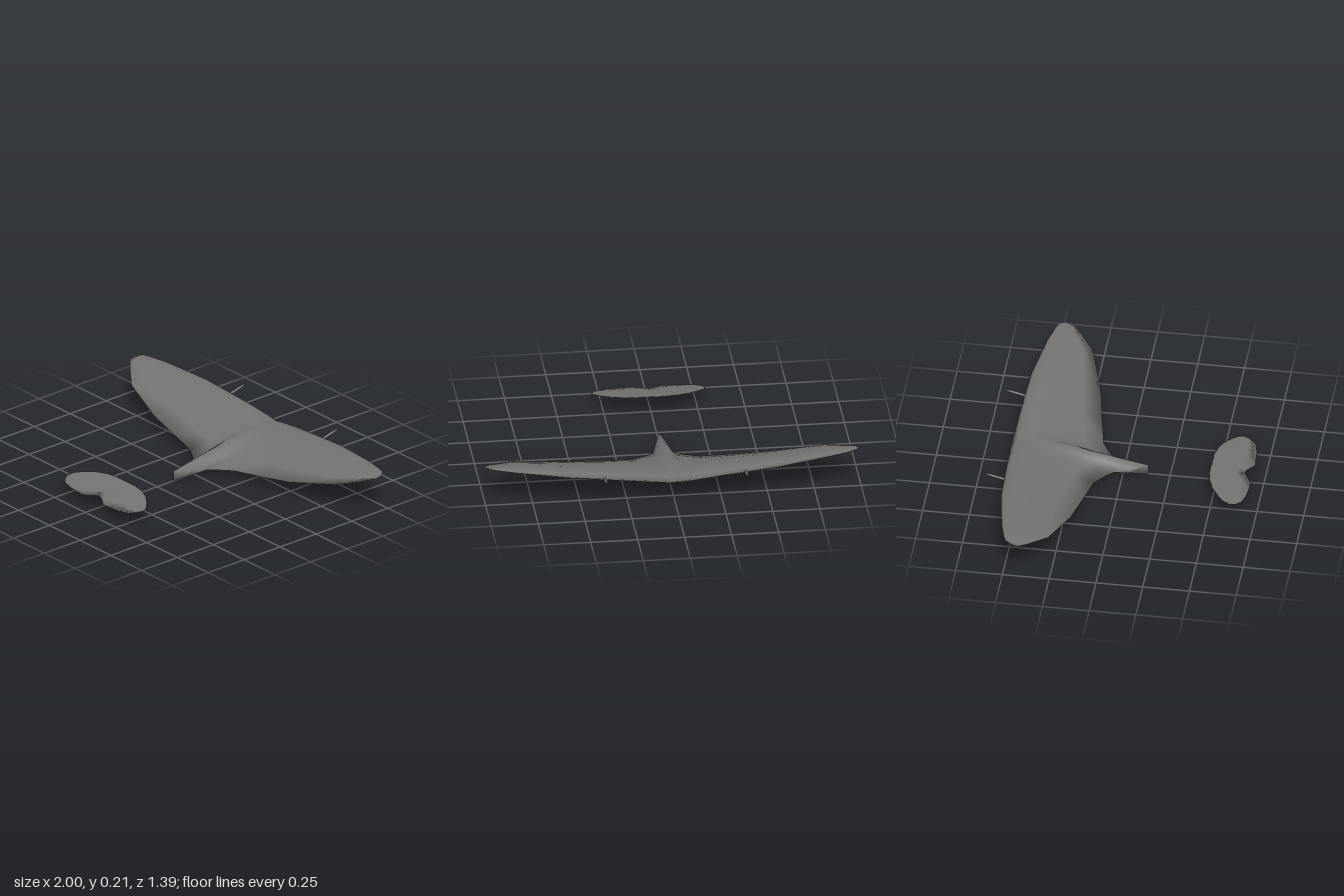
import * as THREE from 'three';
import { mergeVertices } from 'three/addons/utils/BufferGeometryUtils.js';

const material = new THREE.MeshStandardMaterial({ color: 0x727272, side: THREE.DoubleSide });

// Aerofoil thickness along the chord: 0 at the nose, 1 at the crest, 0 at the tail
const foil = t => Math.max(0, 10 * (0.2969 * Math.sqrt(t) - 0.126 * t - 0.3516 * t * t + 0.2843 * t ** 3 - 0.1036 * t ** 4));

// Lofts a mirrored wing through stations:
// x, nose z, nose y, tail z, tail y above, tail y below, bulge above, bulge below
function makeWing(name, half, steps = 6) {
  const mirrored = half.slice(1).reverse().map(([x, ...rest]) => [-x, ...rest]);
  const stations = [...mirrored, ...half];
  const ring = 2 * steps + 1;
  const positions = [], index = [];
  for (const [x, nz, ny, tz, above, below, up, low] of stations) {
    const chord = tz - nz;
    for (let j = 0; j < ring; j++) {
      const k = Math.abs(j - steps) / steps, t = k * k * (1.6 - 0.6 * k);
      const top = j <= steps;
      const tailY = top ? above : below;
      const bulge = top ? up : -low;
      positions.push(x, ny + (tailY - ny) * t + bulge * chord * foil(t), nz + chord * t);
    }
  }
  for (let i = 0; i < stations.length - 1; i++) {
    for (let j = 0; j < ring; j++) {
      const n = (j + 1) % ring;
      const a = i * ring + j, b = a + ring, c = (i + 1) * ring + n, d = i * ring + n;
      index.push(a, b, c, a, c, d);
    }
  }
  const geometry = new THREE.BufferGeometry();
  geometry.setAttribute('position', new THREE.Float32BufferAttribute(positions, 3));
  geometry.setIndex(index);
  // Welded edges give the soft, rounded shading
  const welded = mergeVertices(geometry);
  welded.computeVertexNormals();
  const mesh = new THREE.Mesh(welded, material);
  mesh.name = name;
  return mesh;
}

export function createModel() {
  const model = new THREE.Group();
  model.name = 'glider';

  // Main wing, its centre drawn out into a pointed keel
  model.add(makeWing('mainWing', [
    [0, -0.595, 0.131, 0.135, 0.058, 0.002, 0.046, 0.041],
    [0.03, -0.595, 0.132, 0.04, 0.043, 0.016, 0.058, 0.045],
    [0.055, -0.594, 0.134, -0.045, 0.03, 0.03, 0.074, 0.048],
    [0.1, -0.593, 0.137, -0.083, 0.034, 0.034, 0.082, 0.048],
    [0.18, -0.591, 0.145, -0.132, 0.042, 0.042, 0.09, 0.046],
    [0.35, -0.585, 0.16, -0.164, 0.06, 0.06, 0.092, 0.044],
    [0.55, -0.575, 0.177, -0.2, 0.085, 0.085, 0.095, 0.042],
    [0.83, -0.53, 0.198, -0.28, 0.145, 0.145, 0.095, 0.045],
    [0.94, -0.502, 0.205, -0.365, 0.177, 0.177, 0.08, 0.05],
    [0.975, -0.487, 0.207, -0.395, 0.188, 0.188, 0.08, 0.05],
    [1, -0.455, 0.205, -0.42, 0.196, 0.196, 0, 0],
  ]));

  // Small notched wing, lying in one tilted plane
  const planeY = z => 0.057 + (0.695 - z) * 0.2;
  const outline = [
    [0, 0.47, 0.65], [0.02, 0.47, 0.656], [0.08, 0.47, 0.693], [0.14, 0.48, 0.69],
    [0.2, 0.502, 0.684], [0.26, 0.542, 0.668], [0.29, 0.572, 0.643], [0.305, 0.598, 0.612],
  ];
  model.add(makeWing('smallWing', outline.map(([x, nose, tail], i) => {
    const bulge = i === outline.length - 1 ? 0 : 1;
    return [x, nose, planeY(nose), tail, planeY(tail), planeY(tail), 0.03 * bulge, 0.014 * bulge];
  })));

  // Slim pointed rods on the wing's far edge
  const profile = [[0, 0], [0.005, 0.015], [0.0075, 0.06], [0.0075, 0.11], [0.005, 0.14], [0, 0.16]]
    .map(p => new THREE.Vector2(...p));
  for (const side of [1, -1]) {
    const rod = new THREE.Mesh(new THREE.LatheGeometry(profile, 12), material);
    rod.name = side > 0 ? 'leftRod' : 'rightRod';
    rod.position.set(side * 0.375, 0.153, -0.54);
    rod.rotation.x = 0.245 - Math.PI / 2;
    model.add(rod);
  }
  return model;
}
